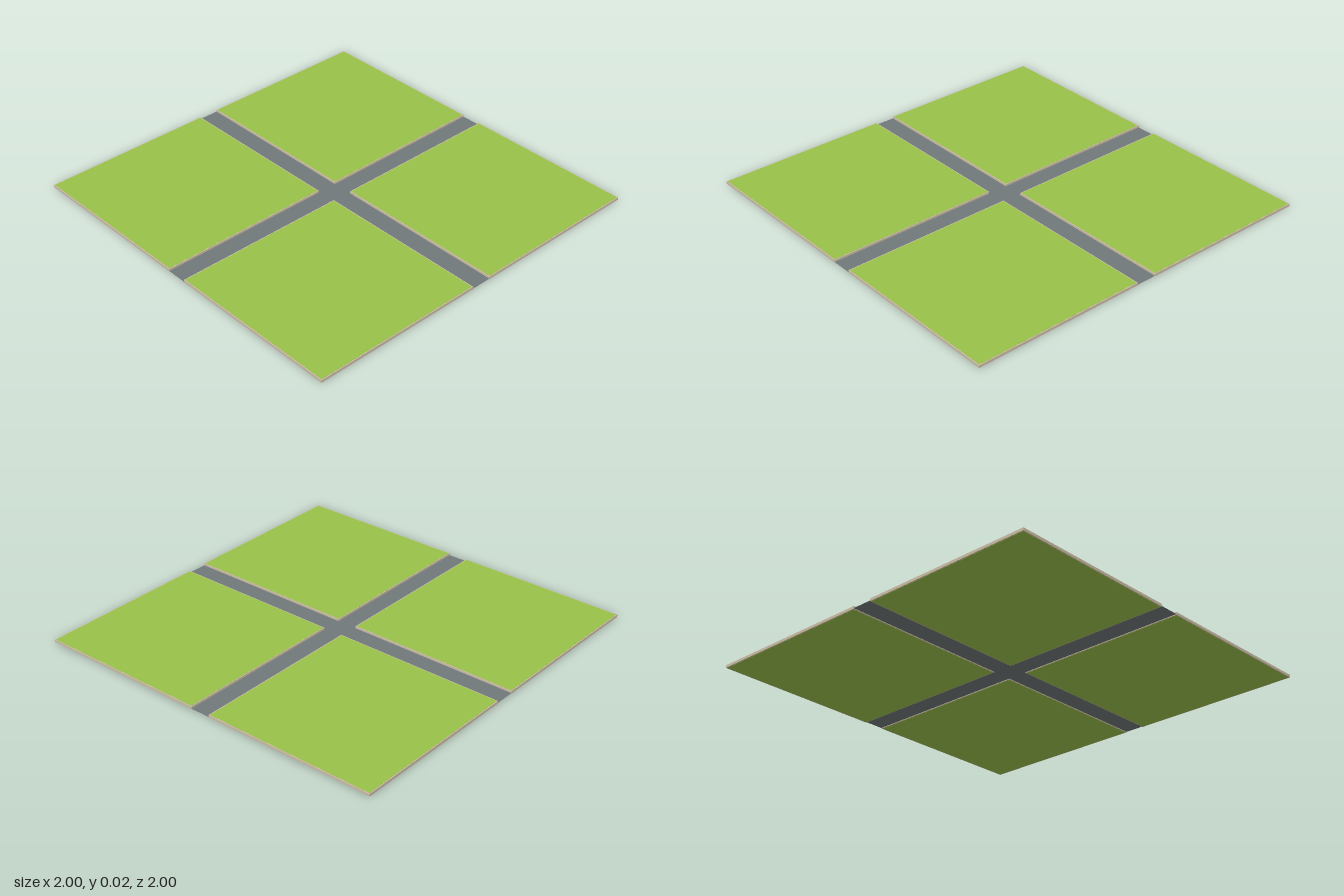
import * as THREE from 'three';

export function createModel() {
  const grass = new THREE.MeshStandardMaterial({ color: 0x98c149 });
  grass.name = 'grass green';
  const kerb = new THREE.MeshStandardMaterial({ color: 0xcdbfa6 });
  kerb.name = 'kerb tan';
  const asphalt = new THREE.MeshStandardMaterial({ color: 0x707879, side: THREE.DoubleSide });
  asphalt.name = 'asphalt grey';

  const GAP = 0.055;      // half width of the road
  const HEIGHT = 0.016;   // thickness of a block
  const SKIN = 0.001;     // thickness of the grass plates
  const SIZE = 1 - GAP;
  const MID = (1 + GAP) / 2;

  const model = new THREE.Group();
  model.name = 'cityBlocks';

  const add = (parent, name, geometry, material, x, y, z) => {
    const mesh = new THREE.Mesh(geometry, material);
    mesh.name = name;
    mesh.position.set(x, y, z);
    parent.add(mesh);
  };

  // Four blocks: a kerb slab with grass above and below
  const slab = new THREE.BoxGeometry(SIZE, HEIGHT - 2 * SKIN, SIZE);
  const lawn = new THREE.BoxGeometry(SIZE - 0.01, SKIN, SIZE - 0.01);
  for (const sx of [-1, 1]) {
    for (const sz of [-1, 1]) {
      const block = new THREE.Group();
      block.name = (sz > 0 ? 'front' : 'back') + (sx > 0 ? 'Left' : 'Right') + 'Block';
      block.position.set(sx * MID, 0, sz * MID);
      add(block, 'kerbSlab', slab, kerb, 0, HEIGHT / 2, 0);
      add(block, 'lawn', lawn, grass, 0, HEIGHT - SKIN / 2, 0);
      add(block, 'underside', lawn, grass, 0, SKIN / 2, 0);
      model.add(block);
    }
  }

  // Crossing roads: one full strip and two arms, all flat sheets
  const strip = (w, d) => new THREE.PlaneGeometry(w, d).rotateX(-Math.PI / 2);
  const roadY = 0.004;
  add(model, 'crossRoad', strip(2, 2 * GAP), asphalt, 0, roadY, 0);
  add(model, 'frontRoad', strip(2 * GAP, SIZE), asphalt, 0, roadY, MID);
  add(model, 'backRoad', strip(2 * GAP, SIZE), asphalt, 0, roadY, -MID);

  return model;
}
